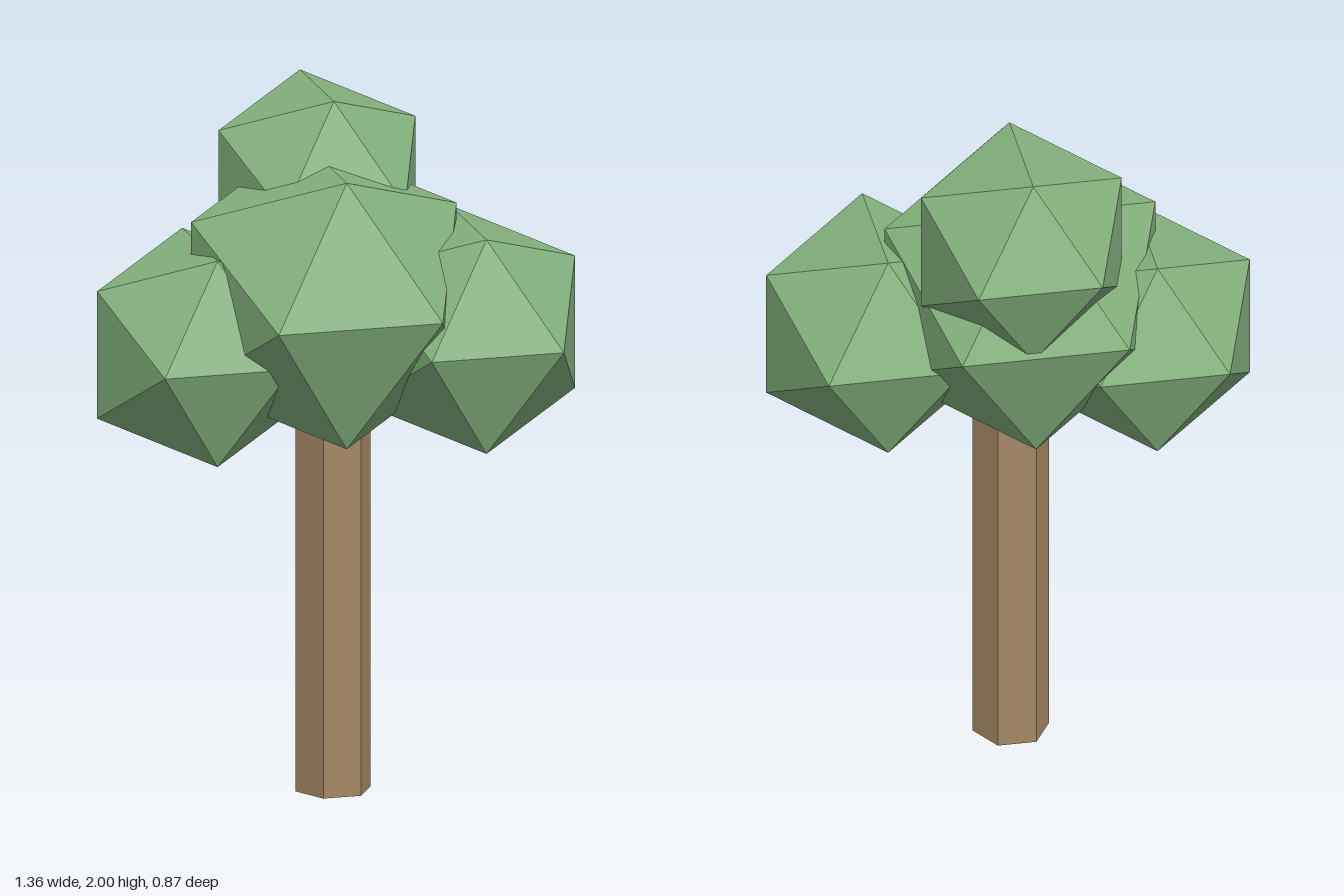
import * as THREE from 'three';

export function createModel() {
  const tree = new THREE.Group();
  tree.name = 'tree';

  const leafGreen = new THREE.MeshStandardMaterial({ color: 0x84b27d, flatShading: true });
  leafGreen.name = 'leaf green';
  const barkBrown = new THREE.MeshStandardMaterial({ color: 0xa68865, flatShading: true });
  barkBrown.name = 'bark brown';

  // Six-sided trunk with a flat side facing the front
  const trunkHeight = 1.065;
  const trunk = new THREE.Mesh(new THREE.CylinderGeometry(0.11, 0.11, trunkHeight, 6), barkBrown);
  trunk.name = 'trunk';
  trunk.rotation.y = Math.PI / 2;
  trunk.position.set(-0.007, trunkHeight / 2, 0.047);
  tree.add(trunk);

  // Icosahedral leaf clumps, turned so their top edge runs front to back
  const clumps = [
    ['topFoliage', 0.338, 0, 1.712, -0.147],
    ['middleFoliage', 0.456, -0.033, 1.442, 0.044],
    ['rightFoliage', 0.353, -0.383, 1.302, 0],
    ['leftFoliage', 0.367, 0.368, 1.33, 0.117],
  ];
  for (const [name, radius, x, y, z] of clumps) {
    const clump = new THREE.Mesh(new THREE.IcosahedronGeometry(radius, 0), leafGreen);
    clump.name = name;
    clump.rotation.y = Math.PI / 2;
    clump.position.set(x, y, z);
    tree.add(clump);
  }

  return tree;
}
